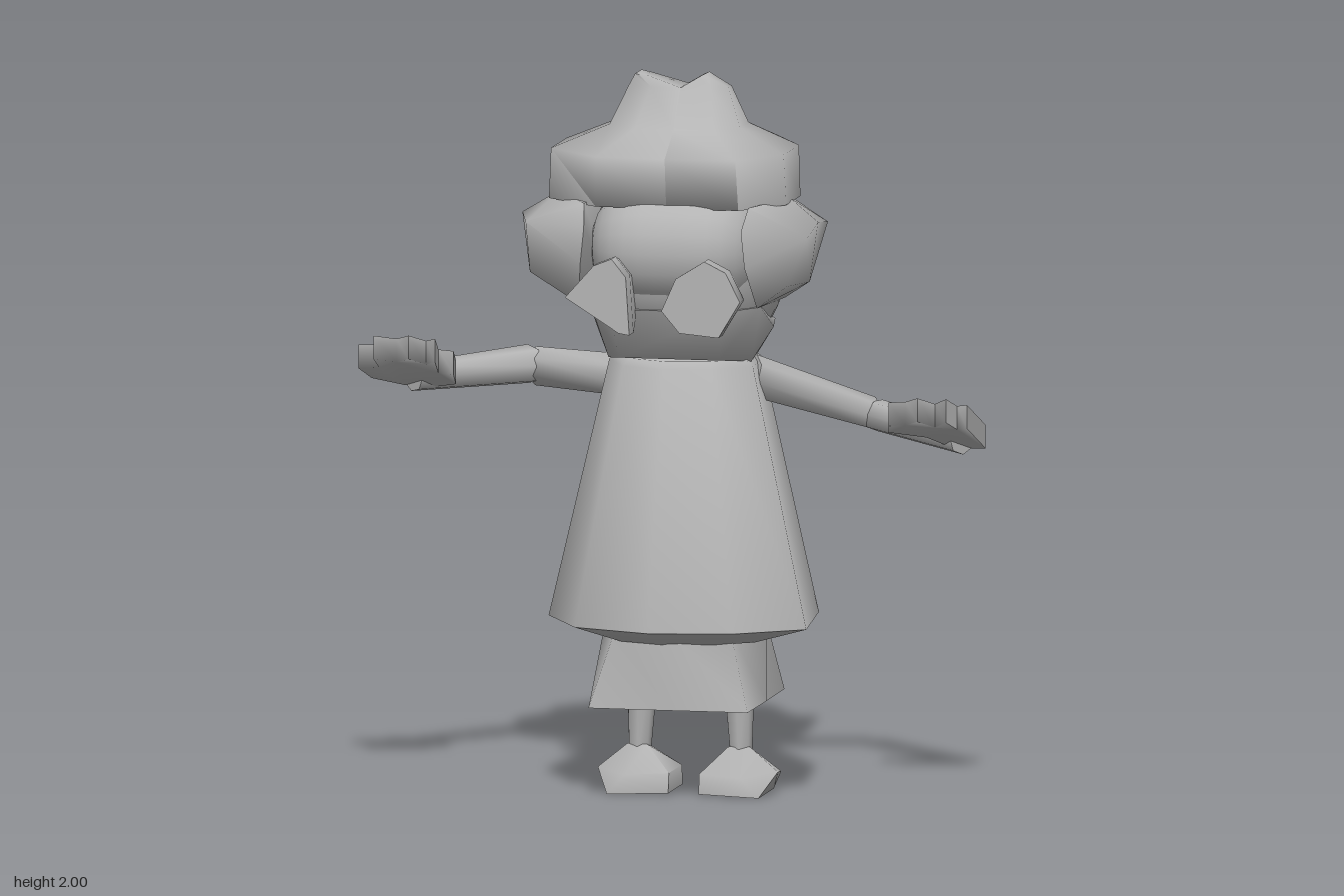
import * as THREE from 'three';
import { toCreasedNormals } from 'three/addons/utils/BufferGeometryUtils.js';
import { ConvexGeometry } from 'three/addons/geometries/ConvexGeometry.js';

const V = (p) => new THREE.Vector3(...p);

export function createModel() {
  const group = new THREE.Group();
  const clay = new THREE.MeshStandardMaterial({ color: 0xb4b4b4 });
  clay.name = 'grey clay';

  function add(name, geometry, crease = 1.3) {
    geometry.deleteAttribute('uv');
    const mesh = new THREE.Mesh(toCreasedNormals(geometry, crease), clay);
    mesh.name = name;
    group.add(mesh);
    return mesh;
  }
  // Soft-shaded lump wrapped around a few points
  const lump = (name, points) => add(name, new ConvexGeometry(points.map(V)));

  // Skin over stacked cross-sections, listed bottom up
  function loft(name, rings, crease) {
    const n = rings[0].length, index = [];
    for (let i = 0; i < rings.length - 1; i++) {
      for (let j = 0; j < n; j++) {
        const k = (j + 1) % n, a = i * n + j, b = i * n + k;
        index.push(a, a + n, b + n, a, b + n, b);
      }
    }
    const g = new THREE.BufferGeometry();
    g.setAttribute('position', new THREE.Float32BufferAttribute(rings.flat(2), 3));
    g.setIndex(index);
    return add(name, g, crease);
  }

  // Tapered tube from one point to another
  function limb(name, from, to, r1, r2) {
    const a = V(from), b = V(to), d = b.clone().sub(a);
    const mesh = add(name, new THREE.CylinderGeometry(r2, r1, d.length(), 7), 1.1);
    mesh.position.copy(a).add(b).multiplyScalar(0.5);
    mesh.quaternion.setFromUnitVectors(new THREE.Vector3(0, 1, 0), d.normalize());
  }

  // Flat open hand, tilted up toward the fingertips
  function hand(name, outline, y, z0, slope) {
    const g = new THREE.ExtrudeGeometry(new THREE.Shape(outline.map(([x, z]) => new THREE.Vector2(x, z))),
      { depth: 0.065, bevelEnabled: false });
    g.rotateX(Math.PI / 2);
    const p = g.attributes.position;
    for (let i = 0; i < p.count; i++) p.setY(i, p.getY(i) + y + slope * (p.getZ(i) - z0));
    add(name, g);
  }

  // Dress
  const hem = [[-0.15, -0.4], [0.23, -0.34], [0.34, -0.17], [0.38, 0.18], [0.2, 0.31],
    [-0.03, 0.35], [-0.25, 0.27], [-0.37, 0.05], [-0.33, -0.2]];
  const dressRing = (sx, sz, y, dz = 0) => hem.map(([x, z]) => [x * sx, y, z * sz + dz]);
  loft('dress', [dressRing(0, 0, 0.44), dressRing(0.58, 0.6, 0.44), dressRing(1, 1, 0.49),
    dressRing(0.56, 0.62, 1.2, -0.015), dressRing(0.5, 0.56, 1.22, -0.015), dressRing(0, 0, 1.22)]);

  // Petticoat: round at the waist, square at the bottom edge
  const skirtRing = (corner, y, s = 1) => Array.from({ length: 8 }, (_, i) => {
    const a = i * Math.PI / 4, r = (i % 2 ? corner : 0.225) * s;
    return [r * Math.cos(a), y, 1.08 * r * Math.sin(a) - 0.025];
  });
  loft('petticoat', [skirtRing(0.32, 0.35, 0), skirtRing(0.315, 0.26), skirtRing(0.225, 0.48)]);

  // Legs and shoes
  for (const [side, x, out] of [['right', -0.13, -1], ['left', 0.155, 1]]) {
    limb(side + 'Leg', [x, 0.09, -0.015], [x - out * 0.01, 0.42, -0.015], 0.03, 0.05);
    const shoe = (px, y, z) => [x + out * px, y, z - 0.015];
    lump(side + 'Shoe', [shoe(-0.1, 0.01, -0.1), shoe(-0.1, 0.01, 0.09), shoe(0.07, 0.005, 0.1),
      shoe(0.07, 0.005, -0.1), shoe(0.11, 0.07, 0.03), shoe(0.1, 0.06, -0.06), shoe(-0.1, 0.065, 0.08),
      shoe(-0.1, 0.065, -0.09), shoe(0.02, 0.06, 0.105), shoe(0.02, 0.06, -0.105),
      shoe(-0.03, 0.135, 0.03), shoe(0.03, 0.135, 0.02), shoe(0, 0.14, -0.03)]);
  }

  // Head and forehead: balls squared off toward the sides
  function ball(name, [x, y, z], [sx, sy, sz]) {
    const g = new THREE.SphereGeometry(1, 20, 16).rotateZ(Math.PI / 2);
    const p = g.attributes.position;
    for (let i = 0; i < p.count; i++) p.setX(i, Math.sign(p.getX(i)) * Math.abs(p.getX(i)) ** 1.25);
    for (let i = 0; i < p.count; i++) {
      // Widen the profile so it stays full almost to the sides
      const u = Math.abs(p.getX(i)), r = Math.hypot(p.getY(i), p.getZ(i));
      const k = r > 1e-4 ? Math.sqrt(Math.max(0, 1 - u ** 3.2)) / r : 1;
      p.setY(i, p.getY(i) * k);
      p.setZ(i, p.getZ(i) * k);
    }
    add(name, g.scale(sx, sy, sz)).position.set(x, y, z);
  }
  ball('head', [0.01, 1.49, -0.03], [0.26, 0.285, 0.3]);
  ball('forehead', [0.005, 1.53, 0.11], [0.24, 0.18, 0.195]);
  lump('jaw', [-1, 1].flatMap((s) => [[s * 0.24, 1.37, 0.12], [s * 0.25, 1.3, 0], [s * 0.2, 1.21, 0.06],
    [s * 0.18, 1.21, -0.12], [s * 0.14, 1.23, 0.2], [s * 0.16, 1.37, 0.25], [s * 0.22, 1.3, -0.16]]));

  // Bulging eyes
  const eyes = {
    rightEye: [[-0.25, 1.42], [-0.1, 1.325], [-0.07, 1.32], [-0.08, 1.48], [-0.12, 1.53], [-0.17, 1.51]],
    leftEye: [[0.02, 1.39], [0.07, 1.33], [0.18, 1.32], [0.24, 1.42], [0.2, 1.5], [0.14, 1.53], [0.06, 1.48]],
  };
  for (const [name, outline] of Object.entries(eyes)) {
    const cx = name === 'leftEye' ? 0.13 : -0.13;
    lump(name, outline.flatMap(([x, y]) => [[x, y, 0.395], [x, y, 0.34],
      [cx + (x - cx) * 0.7, 1.42 + (y - 1.42) * 0.7, 0.22]]));
  }

  // Crown of hair: two halves meeting at a parting, each rising to a peak
  for (const [name, s, w, peak] of [['rightCrown', -1, 0.36, 0.12], ['leftCrown', 1, 0.305, 0.07]]) {
    const half = [[0, -0.26], [0.21, -0.27], [w, -0.1], [w, 0.1], [0.2, 0.25], [0, 0.26]];
    const ring = (y, sx, sz, dx = 0) => {
      const points = half.map(([x, z]) => [s * (x * sx + dx), y, z * sz]);
      return s > 0 ? points : points.reverse();
    };
    loft(name, [ring(1.65, 0, 0), ring(1.65, 1, 0.92), ring(1.79, 0.98, 1), ring(1.855, 0.55, 0.55),
      ring(1.96, 0.42, 0.2), ring(1.99, 0.1, 0.12, peak - 0.02), ring(2, 0, 0, peak)], 1.5);
  }

  // Tufts over the ears
  const tufts = [['rightTuft', -1, [[0.45, 1.6, 0.02], [0.42, 1.43, 0.02], [0.4, 1.6, 0.21],
    [0.39, 1.46, 0.2], [0.38, 1.59, -0.18], [0.35, 1.66, 0.02]]],
  ['leftTuft', 1, [[0.385, 1.6, 0.05], [0.355, 1.43, 0.02], [0.38, 1.57, 0.17],
    [0.33, 1.44, 0.2], [0.35, 1.56, -0.24], [0.3, 1.66, 0.02]]]];
  for (const [name, s, outer] of tufts) {
    const inner = [[0.25, 1.38, 0.22], [0.25, 1.36, -0.15], [0.23, 1.5, 0.29], [0.22, 1.6, 0.29],
      [0.23, 1.66, 0.24], [0.27, 1.52, -0.26], [0.25, 1.63, -0.22], [0.2, 1.4, 0]];
    lump(name, [...outer, ...inner].map(([x, y, z]) => [s * x, y, z]));
  }

  // Right arm
  limb('rightUpperArm', [-0.14, 1.15, -0.02], [-0.45, 1.145, -0.19], 0.06, 0.055);
  limb('rightForearm', [-0.47, 1.15, -0.18], [-0.73, 1.15, 0.14], 0.055, 0.04);
  hand('rightHand', [[-0.84, 0.17], [-0.86, 0.25], [-0.8, 0.26], [-0.8, 0.33], [-0.74, 0.31], [-0.7, 0.34],
    [-0.66, 0.3], [-0.63, 0.32], [-0.64, 0.23], [-0.6, 0.22], [-0.61, 0.14], [-0.68, 0.11], [-0.76, 0.12]],
  1.19, 0.12, 0.47);

  // Left arm
  limb('leftUpperArm', [0.18, 1.16, -0.02], [0.47, 1.035, -0.24], 0.06, 0.045);
  limb('leftForearm', [0.49, 1.03, -0.23], [0.79, 1.01, 0.05], 0.045, 0.042);
  hand('leftHand', [[0.85, 0.03], [0.83, 0.18], [0.8, 0.17], [0.78, 0.22], [0.74, 0.18], [0.7, 0.22],
    [0.66, 0.19], [0.61, 0.18], [0.6, 0.13], [0.7, 0.1], [0.76, 0.02]], 1.045, 0.02, 0.5);

  return group;
}
